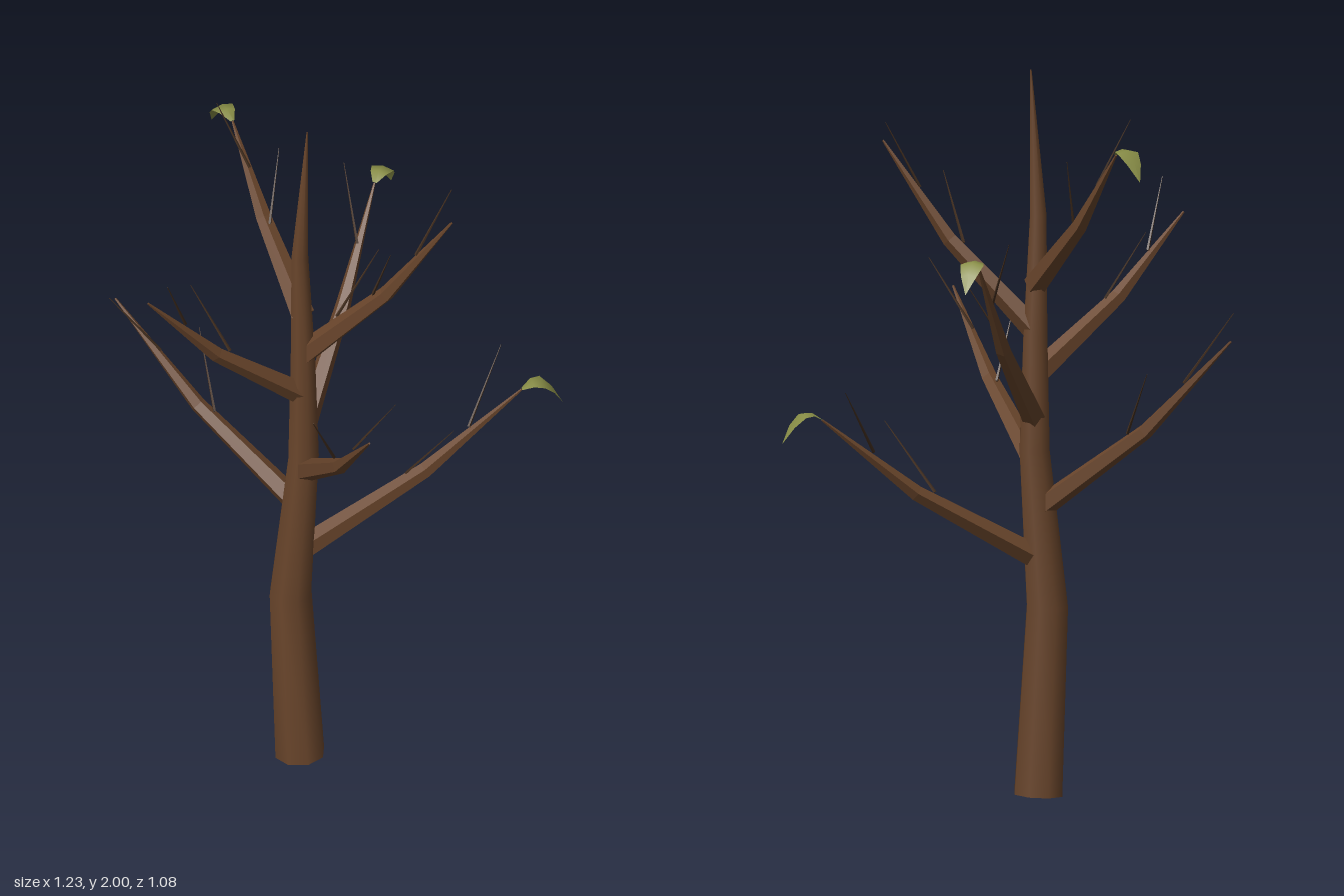
import * as THREE from 'three';

const bark = new THREE.MeshStandardMaterial({ color: 0x69452b });
const barkFlat = new THREE.MeshStandardMaterial({ color: 0x69452b, flatShading: true });
const twigBark = new THREE.MeshStandardMaterial({ color: 0x453020, flatShading: true });
const leafGreen = new THREE.MeshStandardMaterial({ color: 0x868b45, side: THREE.DoubleSide });

const V = (x, y, z) => new THREE.Vector3(x, y, z);

function makeMesh(name, pos, idx, material) {
  const geo = new THREE.BufferGeometry();
  geo.setAttribute('position', new THREE.Float32BufferAttribute(pos, 3));
  geo.setIndex(idx);
  geo.computeVertexNormals();
  const mesh = new THREE.Mesh(geo, material);
  mesh.name = name;
  return mesh;
}

// Tapered limb: rings of the given radii swept along points, closed at both ends
function limb(name, pts, radii, sides, material) {
  const pos = [], idx = [];
  const last = pts.length - 1;
  const axis = pts[last].clone().sub(pts[0]).normalize();
  const ref = axis.y > 0.95 ? V(0, 0, 1) : V(0, 1, 0);
  pts.forEach((p, i) => {
    const t = pts[Math.min(i + 1, last)].clone().sub(pts[Math.max(i - 1, 0)]).normalize();
    const u = V(0, 0, 0).crossVectors(t, ref).normalize();
    const v = V(0, 0, 0).crossVectors(t, u);
    for (let s = 0; s < sides; s++) {
      const a = ((s + 0.5) / sides) * Math.PI * 2;
      const q = p.clone().addScaledVector(u, Math.cos(a) * radii[i]).addScaledVector(v, Math.sin(a) * radii[i]);
      pos.push(q.x, q.y, q.z);
    }
  });
  for (let i = 0; i < last; i++) {
    for (let s = 0; s < sides; s++) {
      const a = i * sides + s, b = i * sides + (s + 1) % sides;
      idx.push(a, b, a + sides, b, b + sides, a + sides);
    }
  }
  // Caps use their own corners so the rims stay sharp
  for (const end of [0, last]) {
    const first = pos.length / 3;
    pos.push(...pos.slice(end * sides * 3, (end + 1) * sides * 3));
    for (let s = 1; s < sides - 1; s++) {
      if (end) idx.push(first, first + s, first + s + 1);
      else idx.push(first, first + s + 1, first + s);
    }
  }
  return makeMesh(name, pos, idx, material);
}

// Arched, slightly folded leaf growing outward from a branch tip
function leaf(tip, azimuth) {
  const length = 0.105, c = Math.cos(azimuth), s = Math.sin(azimuth);
  const along = [0, 0.28, 0.55, 0.83, 1.1];
  const rise = [0.002, 0.022, 0.022, -0.008, -0.06];
  const half = [0.006, 0.024, 0.033, 0.022, 0];
  const pos = [], idx = [];
  along.forEach((f, i) => {
    for (const side of [-1, 0, 1]) {
      const w = side * half[i];
      pos.push(tip.x + c * f * length - s * w, tip.y + rise[i] - Math.abs(w) * 0.25, tip.z + s * f * length + c * w);
    }
  });
  for (let i = 0; i < along.length - 1; i++) {
    for (let j = 0; j < 2; j++) {
      const a = i * 3 + j;
      idx.push(a, a + 1, a + 3, a + 1, a + 4, a + 3);
    }
  }
  return makeMesh('leaf', pos, idx, leafGreen);
}

// Branches spiral up the trunk by the golden angle, getting shorter
function branch(i) {
  const group = new THREE.Group();
  group.name = `branch${i + 1}`;
  const azimuth = THREE.MathUtils.degToRad(-18 - 137.5 * i);
  const reach = 0.615 - 0.038 * i;
  const climb = i % 2 ? 0.507 : 0.412;
  const base = V(-0.077, 0.657 + 0.125 * i, 0.04);
  const out = (from, angle, r, up) => from.clone().add(V(Math.cos(angle) * r, up, Math.sin(angle) * r));

  const elbow = out(base, azimuth, reach * 0.56, climb * 0.475);
  const tip = out(base, azimuth, reach, climb);
  group.add(limb('bough', [base, elbow, tip], [0.034, 0.022, 0.003], 5, barkFlat));

  // One thin twig to each side, the first below the elbow and the second above it
  const roots = [base.clone().lerp(elbow, 0.84), elbow.clone().lerp(tip, 0.45)];
  roots.forEach((root, k) => {
    root.y += k ? 0.022 : 0.03;
    const angle = azimuth + THREE.MathUtils.degToRad(k ? -40 : 45);
    const end = out(root, angle, reach * 0.247, 0.186);
    group.add(limb('twig', [root, end], [0.0045, 0.001], 4, twigBark));
  });

  // Every third branch keeps a leaf
  if (i % 3 === 0) group.add(leaf(tip, azimuth));
  return group;
}

export function createModel() {
  const tree = new THREE.Group();
  tree.name = 'tree';

  // Bent trunk running up to a point
  const trunkPath = [
    V(-0.085, 0, 0.046), V(-0.11, 0.52, 0.05), V(-0.075, 0.95, 0.042),
    V(-0.077, 1.27, 0.039), V(-0.085, 1.6, 0.044), V(-0.065, 2, 0.043),
  ];
  tree.add(limb('trunk', trunkPath, [0.07, 0.06, 0.044, 0.035, 0.024, 0.002], 8, bark));

  for (let i = 0; i < 7; i++) tree.add(branch(i));
  return tree;
}
